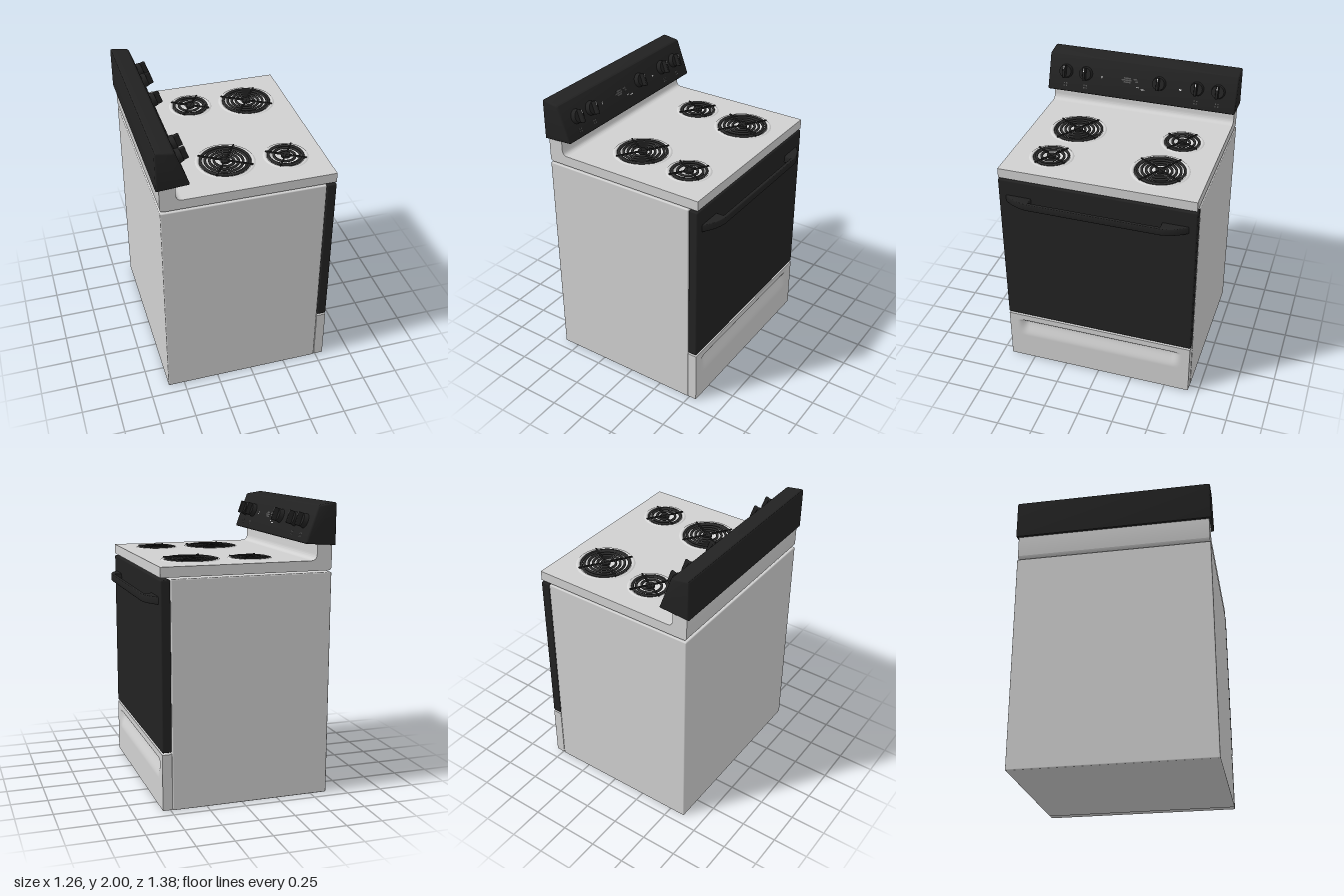
import * as THREE from 'three';
import { toCreasedNormals } from 'three/addons/utils/BufferGeometryUtils.js';
import { RoundedBoxGeometry } from 'three/addons/geometries/RoundedBoxGeometry.js';

const material = (name, color, side = THREE.FrontSide) => {
  const m = new THREE.MeshStandardMaterial({ color, side });
  m.name = name;
  return m;
};
const enamel = material('light grey enamel', 0xd0d0d0);
const chrome = material('drip pan metal', 0xd4d4d4, THREE.DoubleSide);
const black = material('black enamel', 0x222222);
const coilGrey = material('coil dark grey', 0x2c2c2c);
const printGrey = material('print grey', 0x555555);
const white = material('white marks', 0xeeeeee);

function add(parent, name, geometry, mat, x = 0, y = 0, z = 0) {
  const mesh = new THREE.Mesh(geometry, mat);
  mesh.name = name;
  mesh.position.set(x, y, z);
  parent.add(mesh);
  return mesh;
}

// Rounded box given by its limits
function block(parent, name, mat, [x0, x1], [y0, y1], [z0, z1], r = 0.008) {
  const g = new RoundedBoxGeometry(x1 - x0, y1 - y0, z1 - z0, 2, r);
  return add(parent, name, g, mat, (x0 + x1) / 2, (y0 + y1) / 2, (z0 + z1) / 2);
}

// Bevelled extrusion that keeps the outline and the total depth
function extrude(shape, depth, bevel) {
  return toCreasedNormals(new THREE.ExtrudeGeometry(shape, {
    depth: depth - 2 * bevel, curveSegments: 24, bevelEnabled: bevel > 0,
    bevelThickness: bevel, bevelSize: bevel, bevelOffset: -bevel, bevelSegments: 3,
  }).translate(0, 0, bevel), 0.6);
}

// x, z and outer radius of each burner
const burners = [[-0.14, -0.397, 0.152], [0.263, -0.352, 0.2], [-0.097, 0.342, 0.2], [0.303, 0.39, 0.152]];

function cooktop(parent) {
  // Flat top with four openings; shape y is -z
  const plate = new THREE.Shape([[-0.47, -0.675], [0.555, -0.675], [0.555, 0.675], [-0.47, 0.675]]
    .map(([x, y]) => new THREE.Vector2(x, y)));
  for (const [x, z, r] of burners) {
    const hole = new THREE.Path();
    hole.absarc(x, -z, r - 0.012, 0, Math.PI * 2, true);
    plate.holes.push(hole);
  }
  add(parent, 'cooktop', extrude(plate, 0.068, 0).rotateX(-Math.PI / 2), enamel, 0, 1.553, 0);

  // Riser sweeping up to the control panel
  const riser = new THREE.Shape();
  riser.moveTo(-0.47, 1.553);
  riser.lineTo(-0.47, 1.621);
  riser.quadraticCurveTo(-0.508, 1.622, -0.51, 1.665);
  riser.lineTo(-0.51, 1.76);
  riser.lineTo(-0.615, 1.76);
  riser.lineTo(-0.615, 1.575);
  riser.quadraticCurveTo(-0.613, 1.555, -0.59, 1.553);
  add(parent, 'cooktopRiser', extrude(riser, 1.35, 0), enamel, 0, 0, -0.675);
}

class Spiral extends THREE.Curve {
  constructor(inner, outer, turns) {
    super();
    Object.assign(this, { inner, outer, turns });
  }
  getPoint(t, target = new THREE.Vector3()) {
    const a = t * this.turns * Math.PI * 2 + 3.6;
    const r = this.inner + (this.outer - this.inner) * t;
    return target.set(r * Math.cos(a), 0, r * Math.sin(a));
  }
}

function burner(parent, [x, z, r]) {
  const group = new THREE.Group();
  group.name = 'burner';
  group.position.set(x, 1.62, z);
  parent.add(group);
  const pan = [[0.001, -0.055], [r - 0.08, -0.05], [r - 0.04, -0.03], [r - 0.026, 0.002],
    [r - 0.018, 0.008], [r - 0.008, 0.007], [r, 0]];
  add(group, 'dripPan', new THREE.LatheGeometry(pan.map(p => new THREE.Vector2(...p)), 48), chrome);
  const outer = r - 0.037;
  const turns = Math.round((outer - 0.045) / 0.028);
  add(group, 'coil', new THREE.TubeGeometry(new Spiral(0.045, outer, turns), turns * 48, 0.009, 6), coilGrey, 0, 0.005);
  // Closing outermost ring
  add(group, 'outerCoil', new THREE.TorusGeometry(outer, 0.009, 6, 48).rotateX(Math.PI / 2), coilGrey, 0, 0.005);
  add(group, 'hub', new THREE.CylinderGeometry(0.032, 0.032, 0.016, 24), black, 0, 0.006);
  // Support bars, angles measured from +x towards +z
  for (const a of [0.55, 2.15, 3.69, 5.29]) {
    const len = r - 0.012;
    const bar = add(group, 'supportBar', new THREE.BoxGeometry(len, 0.012, 0.008).translate(len / 2, 0, 0), black, 0, 0.01);
    bar.rotation.y = -a;
  }
}

function drawer(parent) {
  // Front face pressed in to form a finger scoop
  const g = new THREE.BoxGeometry(0.065, 0.385, 1.355, 1, 64, 96);
  const p = g.attributes.position;
  for (let i = 0; i < p.count; i++) {
    if (p.getX(i) < 0.03) continue;
    const y = p.getY(i) + 0.1975;
    const side = 1 - THREE.MathUtils.smoothstep(Math.abs(p.getZ(i)), 0.54, 0.61);
    const scoop = THREE.MathUtils.smoothstep(y, 0.2, 0.32) * (1 - THREE.MathUtils.smoothstep(y, 0.325, 0.345));
    p.setX(i, p.getX(i) - 0.03 * side * scoop);
  }
  g.computeVertexNormals();
  add(parent, 'storageDrawer', g, enamel, 0.5225, 0.1975, 0);
}

function doorHandle(parent) {
  // Bar with curved feet; shape y is -z
  const s = new THREE.Shape();
  s.moveTo(0.55, -0.635);
  s.quadraticCurveTo(0.625, -0.55, 0.63, -0.45);
  s.lineTo(0.63, 0.45);
  s.quadraticCurveTo(0.625, 0.55, 0.55, 0.635);
  s.lineTo(0.55, 0.45);
  s.lineTo(0.605, 0.45);
  s.lineTo(0.605, -0.45);
  s.lineTo(0.55, -0.45);
  add(parent, 'doorHandle', extrude(s, 0.052, 0.007).rotateX(-Math.PI / 2), black, 0, 1.375, 0);
}

// Frame on the sloping panel face, with local +x pointing out of it
function onPanel(parent, name, y, z) {
  const group = new THREE.Group();
  group.name = name;
  group.position.set(-0.507 + (1.98 - y) * 0.355, y, z);
  group.rotation.z = 0.341;
  parent.add(group);
  return group;
}

function controls(parent) {
  const profile = new THREE.Shape();
  profile.moveTo(-0.635, 1.72);
  profile.lineTo(-0.435, 1.733);
  profile.quadraticCurveTo(-0.418, 1.733, -0.422, 1.745);
  profile.lineTo(-0.504, 1.971);
  profile.quadraticCurveTo(-0.509, 1.984, -0.525, 1.986);
  profile.lineTo(-0.62, 2);
  profile.quadraticCurveTo(-0.635, 2, -0.635, 1.985);
  add(parent, 'controlPanel', extrude(profile, 1.384, 0.012), black, 0, 0, -0.692);

  for (const z of [0.56, 0.41, -0.135, -0.408, -0.56]) {
    const knob = onPanel(parent, 'knob', 1.872, z);
    add(knob, 'knobDisc', new THREE.CylinderGeometry(0.044, 0.05, 0.034, 32).rotateZ(-Math.PI / 2), black, 0.015);
    add(knob, 'knobGrip', new RoundedBoxGeometry(0.04, 0.092, 0.02, 2, 0.006), black, 0.045);
    add(knob, 'knobPointer', new THREE.BoxGeometry(0.003, 0.025, 0.005), white, 0.065, 0.03);
    if (z === -0.135) continue;
    // Four-dot burner marker under each burner knob
    const marker = onPanel(parent, 'burnerMarker', 1.782, z);
    for (const dy of [-0.009, 0.009]) for (const dz of [-0.009, 0.009])
      add(marker, 'markerDot', new THREE.BoxGeometry(0.004, 0.009, 0.009), printGrey, 0, dy, dz);
  }

  // Small printed plates and pilot marks
  const display = onPanel(parent, 'display', 1.865, 0.08);
  for (const [dy, dz, w] of [[0.014, 0.02, 0.05], [0, 0.025, 0.075], [-0.014, 0.02, 0.05], [0.012, -0.04, 0.03], [-0.004, -0.05, 0.02]])
    add(display, 'displayPlate', new THREE.BoxGeometry(0.004, 0.01, w), printGrey, 0, dy, dz);
  for (const [y, z, h, w] of [[1.825, 0.02, 0.006, 0.02], [1.815, -0.02, 0.006, 0.03], [1.85, -0.29, 0.01, 0.016], [1.862, 0.29, 0.018, 0.007]])
    add(onPanel(parent, 'panelMark', y, z), 'markPlate', new THREE.BoxGeometry(0.004, h, w), white);
}

export function createModel() {
  const stove = new THREE.Group();
  stove.name = 'electricStove';
  block(stove, 'cabinet', enamel, [-0.615, 0.488], [0.003, 1.545], [-0.68, 0.68]);
  block(stove, 'ovenDoor', black, [0.49, 0.556], [0.402, 1.54], [-0.68, 0.68], 0.01);
  drawer(stove);
  doorHandle(stove);
  cooktop(stove);
  burners.forEach(b => burner(stove, b));
  controls(stove);
  // Stand exactly on the ground
  stove.children.forEach(c => { if (c.name === 'cabinet') c.position.y -= 0.003; });
  return stove;
}
